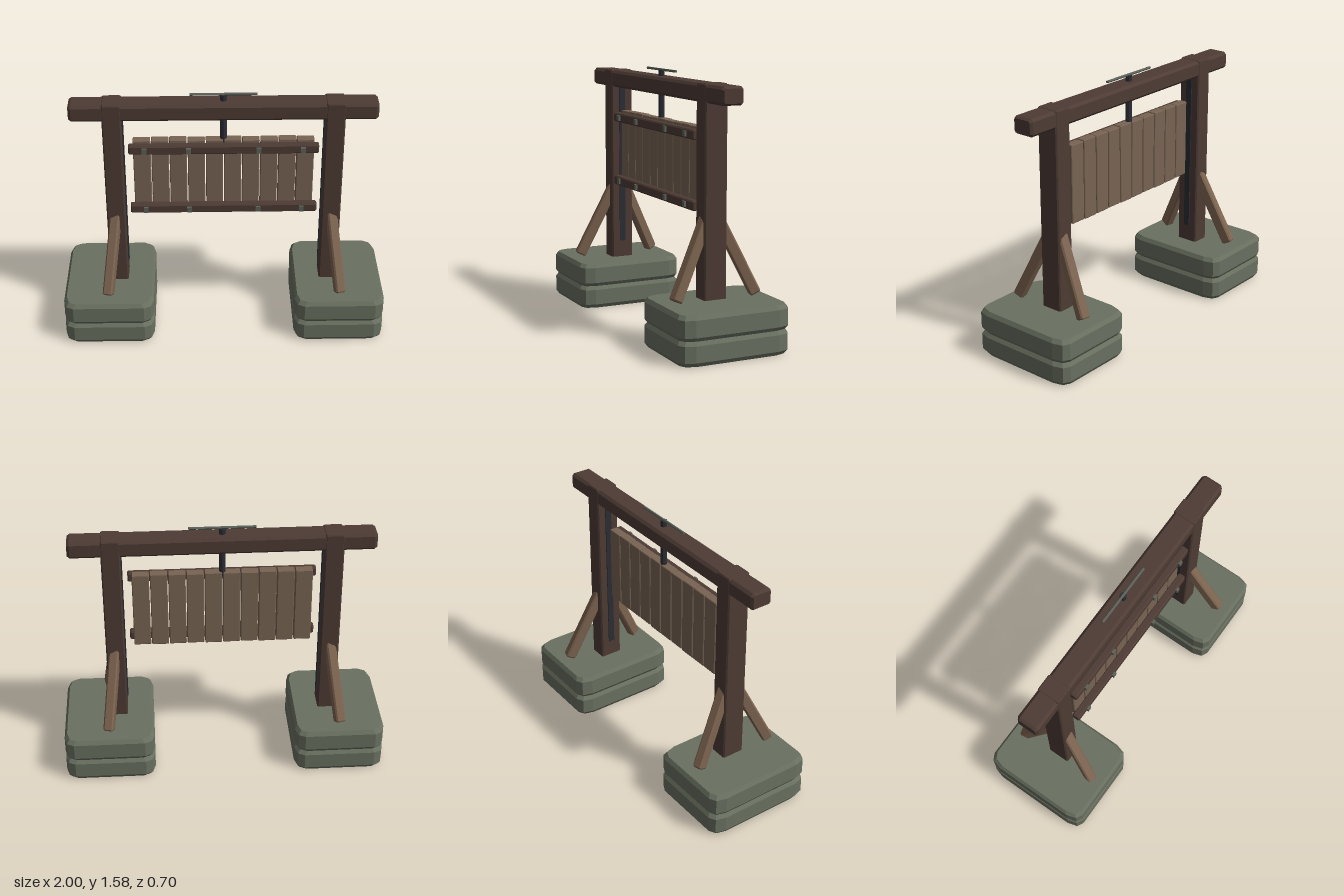
import * as THREE from 'three';

const mat = (name, color) => Object.assign(
  new THREE.MeshStandardMaterial({ color, flatShading: true }), { name });

// Chamfered square timber, centred, running along z
function bar(w, h, len, c) {
  const x = w / 2, y = h / 2, s = new THREE.Shape();
  [[x - c, -y], [x, c - y], [x, y - c], [x - c, y], [c - x, y], [-x, y - c], [-x, c - y], [c - x, -y]]
    .forEach(([a, b], i) => (i ? s.lineTo(a, b) : s.moveTo(a, b)));
  const g = new THREE.ExtrudeGeometry(s, {
    depth: len - 2 * c, bevelEnabled: true, bevelThickness: c, bevelSize: c * 0.7, bevelOffset: -c * 0.7, bevelSegments: 1,
  });
  return g.translate(0, 0, c - len / 2);
}

// Stone slab lofted from rounded rectangular rings
function slab(w, d, y0, y1) {
  const levels = [[y0, 0.016], [y0 + 0.025, 0], [y1 - 0.025, 0], [y1, 0.016]];
  const pos = [], idx = [], n = 12;
  for (const [y, inset] of levels) {
    const x = w / 2 - inset, z = d / 2 - inset;
    for (const [sx, sz, rev] of [[1, 1, 0], [-1, 1, 1], [-1, -1, 0], [1, -1, 1]]) {
      const corner = [[x, z - 0.085], [x - 0.018, z - 0.022], [x - 0.06, z]];
      if (rev) corner.reverse();
      corner.forEach(([a, b]) => pos.push(a * sx, y, b * sz));
    }
  }
  for (let l = 0; l < 3; l++) for (let i = 0; i < n; i++) {
    const a = l * n + i, b = l * n + (i + 1) % n;
    idx.push(a, a + n, b, b, a + n, b + n);
  }
  for (let i = 1; i < n - 1; i++) {
    idx.push(0, i, i + 1, 3 * n, 3 * n + i + 1, 3 * n + i);
  }
  const g = new THREE.BufferGeometry();
  g.setAttribute('position', new THREE.Float32BufferAttribute(pos, 3));
  g.setIndex(idx);
  const flat = g.toNonIndexed();
  flat.computeVertexNormals();
  return flat;
}

export function createModel() {
  const root = new THREE.Group();
  root.name = 'hangingGate';
  const timber = mat('dark timber', 0x4d3b34);
  const plankWood = mat('plank wood', 0x786453);
  const braceWood = mat('brace wood', 0x7d6450);
  const stone = mat('stone', 0x697060);
  const iron = mat('dark iron', 0x2c2e34);
  const steel = mat('worn metal', 0x5c6259);

  const add = (name, geo, material, x, y, z, parent = root) => {
    const m = new THREE.Mesh(geo, material);
    m.name = name;
    m.position.set(x, y, z);
    parent.add(m);
    return m;
  };

  // Stone feet, posts, guide strips and braces on both sides
  for (const s of [1, -1]) {
    const side = new THREE.Group();
    side.name = s > 0 ? 'leftSupport' : 'rightSupport';
    root.add(side);
    add('lowerStone', slab(0.56, 0.7, 0, 0.147), stone, s * 0.72, 0, 0, side);
    add('upperStone', slab(0.56, 0.7, 0.143, 0.293), stone, s * 0.72, 0, 0, side);
    add('post', bar(0.115, 0.144, 1.26, 0.008).rotateX(-Math.PI / 2), timber, s * 0.662, 0.908, 0, side);
    add('guideStrip', new THREE.BoxGeometry(0.008, 1.03, 0.04), iron, s * 0.602, 0.915, 0, side);
    for (const f of [1, -1]) {
      const top = new THREE.Vector3(s * 0.662, 0.79, f * 0.025);
      const foot = new THREE.Vector3(s * 0.722, 0.31, f * 0.258);
      const mid = top.clone().add(foot).multiplyScalar(0.5);
      const brace = new THREE.Mesh(bar(0.062, 0.068, top.distanceTo(foot), 0.009), braceWood);
      brace.name = f > 0 ? 'frontBrace' : 'backBrace';
      brace.position.copy(mid);
      brace.lookAt(foot);
      side.add(brace);
    }
  }

  // Top beam
  add('topBeam', bar(0.14, 0.106, 1.83, 0.016).rotateY(Math.PI / 2), timber, 0, 1.482, 0);

  // Gate panel: ten upright planks held by two rails
  const gate = new THREE.Group();
  gate.name = 'gatePanel';
  root.add(gate);
  for (let i = 0; i < 10; i++) {
    const h = 0.49 + (i % 3) * 0.003;
    add('plank', bar(0.104, 0.055, h, 0.004).rotateX(-Math.PI / 2), plankWood,
      (i - 4.5) * 0.1095, 1.033, 0.002, gate);
  }
  for (const y of [0.822, 1.236]) {
    add('rail', bar(0.05, 0.058, 1.14, 0.008).rotateY(Math.PI / 2), timber, 0, y, 0.05, gate);
    for (const x of [-0.475, -0.21, 0.21, 0.475]) {
      add('bolt', new THREE.BoxGeometry(0.028, 0.034, 0.03), steel, x, y, 0.073, gate);
    }
  }

  // Lifting rod through the beam with its cross handle
  add('liftingRod', new THREE.CylinderGeometry(0.02, 0.02, 0.32, 8), iron, 0, 1.412, 0);
  add('handleBar', new THREE.CylinderGeometry(0.008, 0.008, 0.4, 6).rotateZ(Math.PI / 2), steel, 0, 1.574, 0);
  return root;
}
